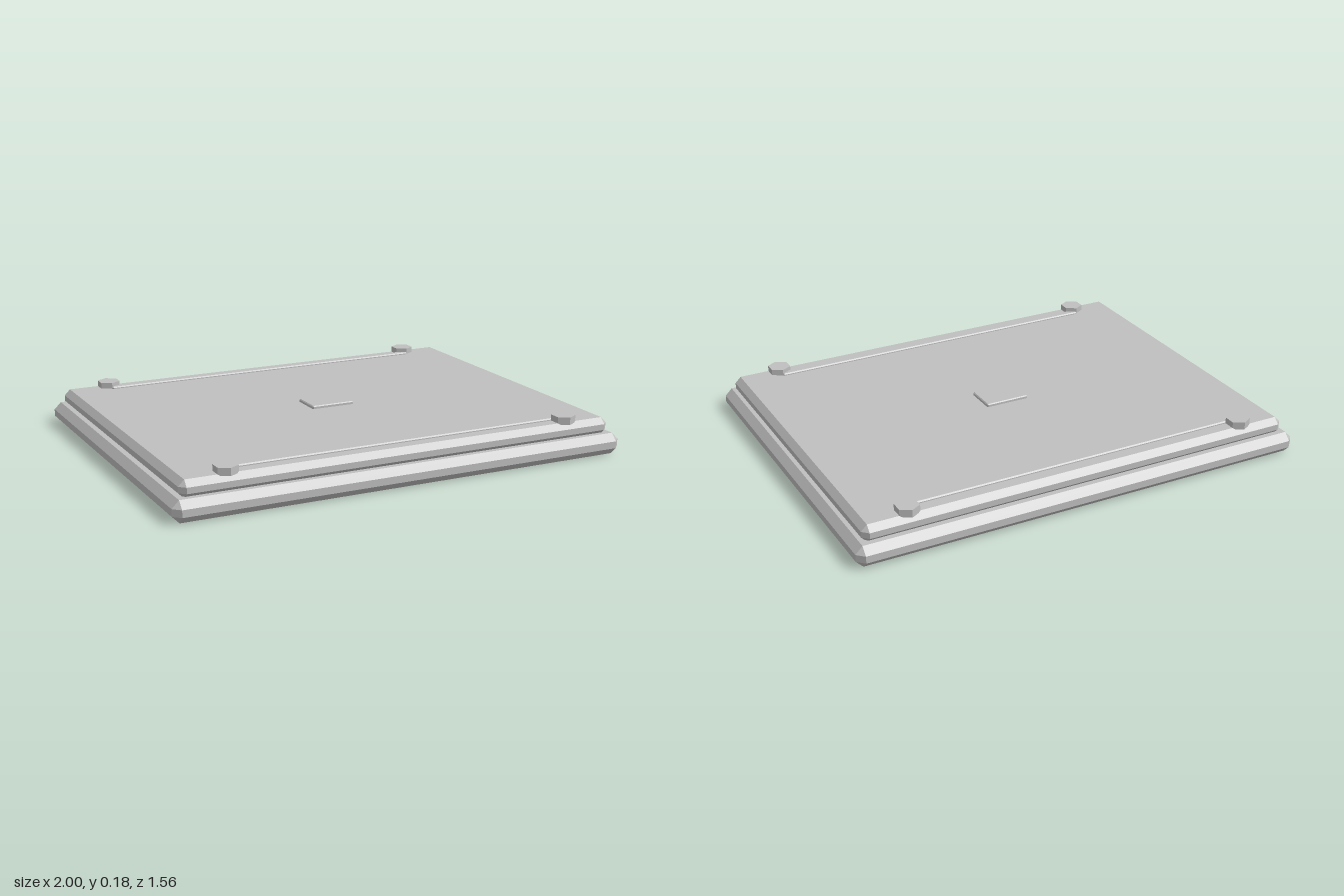
import * as THREE from 'three';
import { ConvexGeometry } from 'three/addons/geometries/ConvexGeometry.js';

// Box with every edge and corner cut by a flat chamfer
function chamferBox(w, h, d, c) {
  const points = [];
  for (const sx of [-1, 1]) for (const sy of [-1, 1]) for (const sz of [-1, 1]) {
    const x = w / 2, y = h / 2, z = d / 2;
    points.push(
      new THREE.Vector3(sx * x, sy * (y - c), sz * (z - c)),
      new THREE.Vector3(sx * (x - c), sy * y, sz * (z - c)),
      new THREE.Vector3(sx * (x - c), sy * (y - c), sz * z)
    );
  }
  return new ConvexGeometry(points);
}

export function createModel() {
  const group = new THREE.Group();
  const grey = new THREE.MeshStandardMaterial({ color: 0xbfbfbf });
  grey.name = 'grey';

  function add(name, geometry, x, y, z) {
    const mesh = new THREE.Mesh(geometry, grey);
    mesh.name = name;
    mesh.position.set(x, y, z);
    group.add(mesh);
  }

  // Two stacked slabs, the upper one sunk slightly into the base
  add('baseSlab', chamferBox(2, 0.09, 1.56, 0.03), 0, 0.045, 0);
  add('upperSlab', chamferBox(1.92, 0.075, 1.48, 0.025), 0, 0.1165, 0);

  // Raised plate in the middle
  add('centrePlate', chamferBox(0.195, 0.024, 0.138, 0.004), 0, 0.155, 0);

  // A thin rail along the front and back, with a hexagonal stud at each end
  const rail = chamferBox(1.52, 0.024, 0.033, 0.005);
  const stud = new THREE.CylinderGeometry(0.05, 0.05, 0.032, 6).toNonIndexed();
  stud.computeVertexNormals();
  for (const [side, sz] of [['front', 1], ['back', -1]]) {
    add(side + 'Rail', rail, 0, 0.151, sz * 0.65);
    for (const [end, sx] of [['Left', 1], ['Right', -1]]) {
      add(side + end + 'Stud', stud, sx * 0.76, 0.164, sz * 0.69);
    }
  }
  return group;
}
